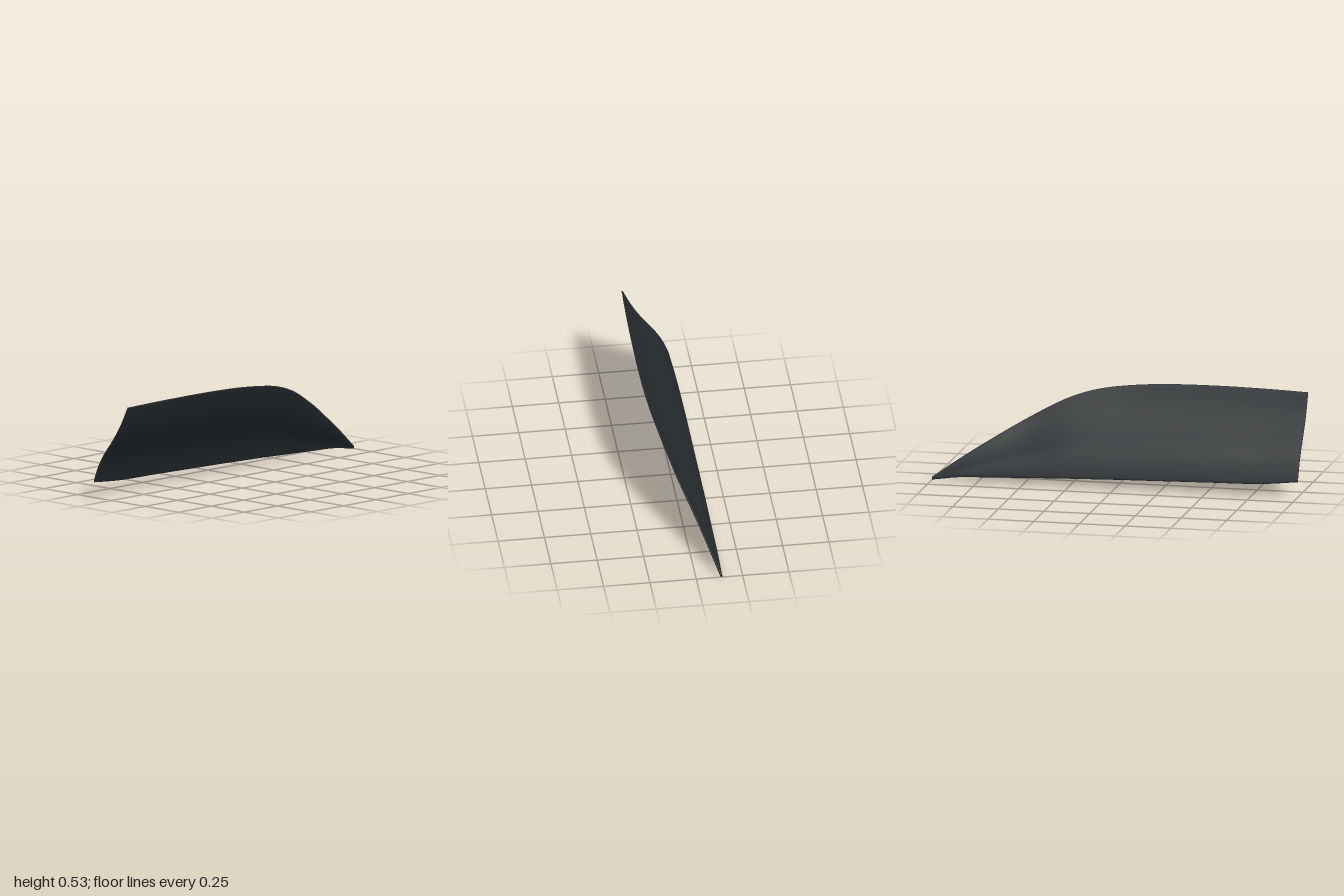
import * as THREE from 'three';

// Edge guide points [x, y, z], from the wide cut end to the pointed tip
const UPPER = [
  [0.125, 0.52, 1], [0.133, 0.525, 0.8], [0.14, 0.528, 0.5], [0.14, 0.522, 0.2], [0.132, 0.506, 0],
  [0.117, 0.483, -0.15], [0.09, 0.436, -0.3], [0.038, 0.333, -0.5], [-0.03, 0.214, -0.7],
  [-0.08, 0.118, -0.85], [-0.132, 0.015, -1],
];
const LOWER = [
  [-0.128, 0.083, 1], [-0.138, 0.066, 0.8], [-0.142, 0.06, 0.5], [-0.142, 0.054, 0.2], [-0.142, 0.05, 0],
  [-0.142, 0.046, -0.15], [-0.142, 0.042, -0.3], [-0.141, 0.035, -0.5], [-0.14, 0.028, -0.7],
  [-0.139, 0.022, -0.85], [-0.137, 0.001, -1],
];
const STATIONS = 80; // sections along the length
const RING = 64;     // points around each section
const HALF_THICKNESS = 0.006;

const guide = (pts) => new THREE.CatmullRomCurve3(pts.map((p) => new THREE.Vector3(...p)));

// Thin closed section with a gentle S bend, running up the +x side and down the -x side
function section(low, top) {
  const chord = top.clone().sub(low);
  const length = Math.hypot(chord.x, chord.y);
  const nx = chord.y / length, ny = -chord.x / length;
  const half = Math.min(HALF_THICKNESS, length * 0.35);
  const ring = [];
  for (let j = 0; j < RING; j++) {
    const a = (j / RING) * Math.PI * 2;
    const t = (1 - Math.cos(a)) / 2;
    const bend = -Math.sin(t * Math.PI * 2) * length * (t < 0.5 ? 0.026 : 0.018);
    const s = Math.sin(a);
    const off = bend + Math.sign(s) * Math.pow(Math.abs(s), 0.35) * half;
    const p = low.clone().addScaledVector(chord, t);
    ring.push(new THREE.Vector3(p.x + nx * off, p.y + ny * off, p.z));
  }
  return ring;
}

function bladeGeometry() {
  const upper = guide(UPPER), lower = guide(LOWER);
  const rings = [];
  for (let i = 0; i <= STATIONS; i++) {
    rings.push(section(lower.getPoint(i / STATIONS), upper.getPoint(i / STATIONS)));
  }
  const pos = [], index = [];
  const addRing = (ring) => ring.forEach((p) => pos.push(p.x, p.y, p.z));
  rings.forEach(addRing);

  // Skin between sections
  for (let i = 0; i < STATIONS; i++) {
    for (let j = 0; j < RING; j++) {
      const k = (j + 1) % RING;
      const a = i * RING + j, b = i * RING + k;
      index.push(a, a + RING, b, b, a + RING, b + RING);
    }
  }
  // Flat ends, stitched straight across the thickness, with their own corners
  [rings[0], rings[STATIONS]].forEach((ring, end) => {
    const base = pos.length / 3;
    addRing(ring);
    for (let j = 0; j < RING / 2; j++) {
      const r0 = base + j, r1 = base + j + 1;
      const l0 = base + ((RING - j) % RING), l1 = base + RING - j - 1;
      const tris = [];
      if (j < RING / 2 - 1) tris.push([r0, r1, l1]);
      if (j > 0) tris.push([r0, l1, l0]);
      tris.forEach(([a, b, c]) => (end ? index.push(a, c, b) : index.push(a, b, c)));
    }
  });

  const geo = new THREE.BufferGeometry();
  geo.setAttribute('position', new THREE.Float32BufferAttribute(pos, 3));
  geo.setIndex(index);
  geo.computeVertexNormals();
  return geo;
}

export function createModel() {
  const group = new THREE.Group();
  group.name = 'curvedBlade';
  const blade = new THREE.Mesh(bladeGeometry(), new THREE.MeshStandardMaterial({ color: 0x24292c }));
  blade.name = 'blade';
  group.add(blade);
  return group;
}
